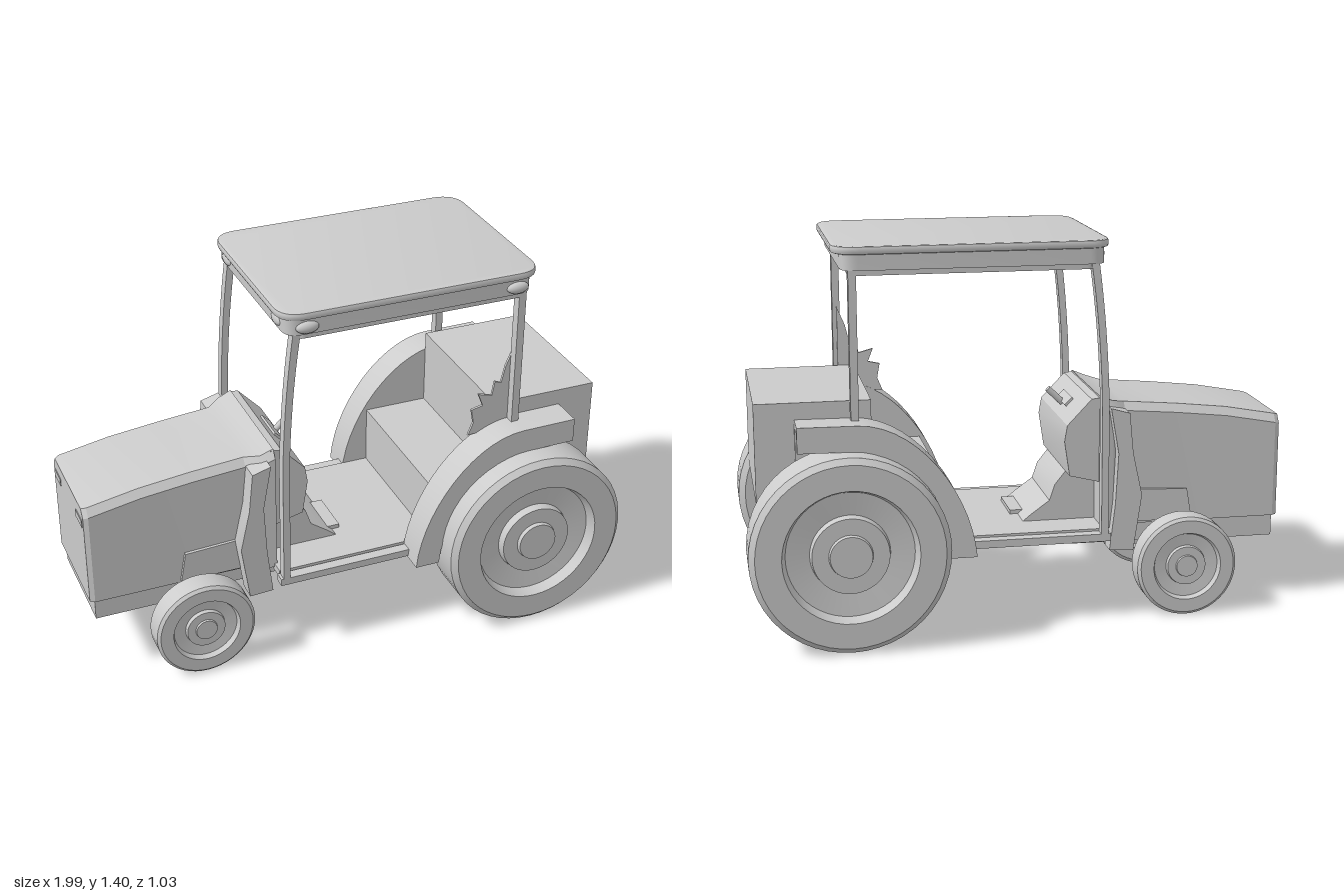
import * as THREE from 'three';
import { toCreasedNormals } from 'three/addons/utils/BufferGeometryUtils.js';

const mat = new THREE.MeshStandardMaterial({ color: 0xcccccc, side: THREE.DoubleSide });

export function createModel() {
  const root = new THREE.Group();

  const add = (name, geo, x = 0, y = 0, z = 0) => {
    const m = new THREE.Mesh(geo, mat);
    m.name = name;
    m.position.set(x, y, z);
    root.add(m);
    return m;
  };
  // Box given by its limits on each axis
  const box = (name, x0, x1, y0, y1, z0, z1) =>
    add(name, new THREE.BoxGeometry(x1 - x0, y1 - y0, z1 - z0), (x0 + x1) / 2, (y0 + y1) / 2, (z0 + z1) / 2);
  // Side profile (x, y) extruded from z0 to z1
  const slab = (name, shape, z0, z1) => {
    const s = Array.isArray(shape) ? new THREE.Shape(shape.map(p => new THREE.Vector2(...p))) : shape;
    const geo = new THREE.ExtrudeGeometry(s, { depth: z1 - z0, bevelEnabled: false, curveSegments: 14 });
    return add(name, toCreasedNormals(geo, 0.5), 0, 0, z0);
  };
  // The same slab on both sides
  const slabPair = (name, shape, z0, z1) => {
    slab(name + 'Left', shape, z0, z1);
    slab(name + 'Right', shape, -z1, -z0);
  };
  const rod = (name, r, len, x, y, z) => {
    const m = add(name, new THREE.CylinderGeometry(r, r, len, 24), x, y, z);
    m.rotation.x = Math.PI / 2;
    return m;
  };

  // Wheels: turned tyre, recessed rim and stepped hub
  const wheel = (name, R, width, x, y, zc) => {
    const h = width / 2;
    const p = [[0, -h * 0.7], [0.6, -h * 0.7], [0.67, -h], [0.93, -h], [1, -h * 0.8],
      [1, h * 0.8], [0.94, h], [0.68, h], [0.64, h * 0.6], [0.40, h * 0.5],
      [0.385, h * 0.8], [0.22, h * 0.8], [0.21, h * 0.95], [0, h * 0.95]];
    const geo = new THREE.LatheGeometry(p.map(([r, t]) => new THREE.Vector2(r * R, t)), 48);
    const m = add(name, toCreasedNormals(geo, 0.45), x, y, zc);
    m.rotation.x = zc > 0 ? Math.PI / 2 : -Math.PI / 2;
  };
  for (const [side, s] of [['Left', 1], ['Right', -1]]) {
    wheel('rearWheel' + side, 0.352, 0.2, 0.64, 0.36, s * 0.416);
    wheel('frontWheel' + side, 0.187, 0.1, -0.61, 0.195, s * 0.3);
  }
  rod('frontAxle', 0.035, 0.54, -0.61, 0.2, 0);
  rod('rearAxle', 0.035, 0.7, 0.64, 0.34, 0);

  // Hood lofted through chamfered sections: x, top height, half width
  const sections = [[-0.997, 0.715, 0.2], [-0.98, 0.72, 0.21], [-0.79, 0.755, 0.21],
    [-0.6, 0.776, 0.21], [-0.4, 0.793, 0.212], [-0.35, 0.805, 0.245], [-0.3, 0.825, 0.25]];
  const pos = [], idx = [], n = 6;
  for (const [x, t, w] of sections) {
    for (const [y, z] of [[0.33, w], [t - 0.03, w], [t, w - 0.022], [t, 0.022 - w], [t - 0.03, -w], [0.33, -w]])
      pos.push(x, y, z);
  }
  for (let i = 0; i < sections.length - 1; i++) {
    for (let j = 0; j < n; j++) {
      const a = i * n + j, b = i * n + (j + 1) % n;
      idx.push(a, a + n, b, b, a + n, b + n);
    }
  }
  const last = (sections.length - 1) * n;
  for (let j = 1; j < n - 1; j++) {
    idx.push(0, j, j + 1);
    idx.push(last, last + j + 1, last + j);
  }
  const hood = new THREE.BufferGeometry();
  hood.setAttribute('position', new THREE.Float32BufferAttribute(pos, 3));
  hood.setIndex(idx);
  add('hood', toCreasedNormals(hood, 0.3));
  for (const s of [-1, 1]) box('headlight', -1, -0.99, 0.64, 0.67, s * 0.145 - 0.04, s * 0.145 + 0.04);

  // Chassis under hood and cab
  box('frontChassis', -0.98, -0.55, 0.25, 0.34, -0.2, 0.2);
  box('midChassis', -0.55, -0.21, 0.25, 0.34, -0.17, 0.17);
  slabPair('engineCover', [[-0.66, 0.34], [-0.64, 0.455], [-0.44, 0.465], [-0.4, 0.34]], 0.2, 0.222);
  slabPair('cowlPanel', [[-0.42, 0.25], [-0.33, 0.255], [-0.35, 0.43], [-0.36, 0.62], [-0.33, 0.79],
    [-0.4, 0.77], [-0.415, 0.62], [-0.45, 0.46]], 0.215, 0.285);

  // Cab floor and sills
  box('floor', -0.31, 0.56, 0.315, 0.345, -0.3, 0.3);
  for (const s of [-1, 1]) box('sill', -0.32, 0.2, 0.31, 0.338, s * 0.325 - 0.02, s * 0.325 + 0.02);
  box('pedal', -0.14, 0.0, 0.345, 0.36, -0.06, 0.12);

  // Console, pedestal and control lever
  slab('console', [[-0.31, 0.82], [-0.27, 0.815], [-0.18, 0.72], [-0.17, 0.66], [-0.19, 0.53], [-0.31, 0.5]], -0.23, 0.23);
  slab('pedestal', [[-0.31, 0.52], [-0.19, 0.53], [-0.15, 0.48], [-0.13, 0.42], [-0.06, 0.37], [-0.03, 0.345], [-0.31, 0.34]], -0.16, 0.16);
  const display = box('display', -0.005, 0.005, -0.02, 0.02, -0.07, 0.07);
  display.position.set(-0.222, 0.77, 0);
  display.rotation.z = 0.8;
  const lever = add('lever', new THREE.CylinderGeometry(0.012, 0.012, 0.11, 12), -0.195, 0.77, 0);
  lever.rotation.z = -0.8;

  // Bench seat and rear box with a sloping underside
  box('seat', 0.29, 0.56, 0.33, 0.57, -0.297, 0.297);
  slab('rearBox', [[0.54, 0.865], [0.95, 0.865], [0.95, 0.505], [0.6, 0.335], [0.54, 0.335]], -0.297, 0.297);

  // Fenders: inner wall, arched top skin and outer lip
  const arch = (drop) => {
    const s = new THREE.Shape();
    s.moveTo(0.185, 0.305);
    s.bezierCurveTo(0.205, 0.55, 0.4, 0.8, 0.6, 0.803);
    s.lineTo(0.81, 0.805);
    if (drop) {
      s.lineTo(0.81, 0.805 - drop);
      s.lineTo(0.62, 0.803 - drop);
      s.bezierCurveTo(0.44, 0.8 - drop, 0.205 + drop, 0.53, 0.185 + drop, 0.305);
    } else {
      s.lineTo(0.81, 0.5);
      s.lineTo(0.6, 0.335);
      s.lineTo(0.54, 0.305);
    }
    return s;
  };
  slabPair('fenderWall', arch(0), 0.298, 0.312);
  slabPair('fenderTop', arch(0.025), 0.31, 0.418);
  slabPair('fenderLip', arch(0.092), 0.4, 0.42);

  // Jagged guard beside the left rear pillar
  slab('sideGuard', [[0.43, 0.76], [0.45, 0.81], [0.44, 0.865], [0.485, 0.875], [0.465, 0.925], [0.52, 0.91],
    [0.53, 0.965], [0.555, 0.955], [0.57, 1.02], [0.6, 1.09], [0.6, 0.78]], 0.3, 0.31);

  // Roof pillars
  const front = new THREE.Shape();
  front.moveTo(-0.31, 0.32);
  front.lineTo(-0.308, 0.8);
  front.quadraticCurveTo(-0.3, 1.08, -0.265, 1.33);
  front.lineTo(-0.237, 1.33);
  front.quadraticCurveTo(-0.275, 1.08, -0.282, 0.8);
  front.lineTo(-0.284, 0.32);
  slabPair('frontPillar', front, 0.308, 0.345);
  slabPair('rearPillar', [[0.588, 0.75], [0.616, 0.75], [0.616, 1.33], [0.588, 1.33]], 0.308, 0.345);

  // Roof: stacked rounded plates
  const plate = (name, x0, x1, hz, r, y0, y1, bevel) => {
    const a = x0 + bevel, b = x1 - bevel, c = hz - bevel, s = new THREE.Shape();
    s.moveTo(a + r, -c);
    s.lineTo(b - r, -c).quadraticCurveTo(b, -c, b, -c + r);
    s.lineTo(b, c - r).quadraticCurveTo(b, c, b - r, c);
    s.lineTo(a + r, c).quadraticCurveTo(a, c, a, c - r);
    s.lineTo(a, -c + r).quadraticCurveTo(a, -c, a + r, -c);
    const geo = new THREE.ExtrudeGeometry(s, { depth: y1 - y0 - 2 * bevel, bevelEnabled: bevel > 0,
      bevelSize: bevel, bevelThickness: bevel, bevelSegments: 2, curveSegments: 8 });
    add(name, toCreasedNormals(geo, 0.5), 0, y1 - bevel, 0).rotation.x = Math.PI / 2;
  };
  plate('roofTop', -0.31, 0.67, 0.36, 0.085, 1.383, 1.412, 0.008);
  plate('roofBody', -0.29, 0.64, 0.352, 0.06, 1.328, 1.385, 0);
  plate('roofFrame', -0.25, 0.615, 0.345, 0.03, 1.31, 1.33, 0);

  // Roof lamps on the left edge and the front
  const lamp = (x, z, sx, sz) =>
    add('roofLamp', new THREE.SphereGeometry(1, 20, 12), x, 1.355, z).scale.set(sx, 0.022, sz);
  for (const x of [-0.215, 0.575]) lamp(x, 0.352, 0.042, 0.02);
  for (const z of [-0.25, 0.25]) lamp(-0.287, z, 0.014, 0.042);

  return root;
}
